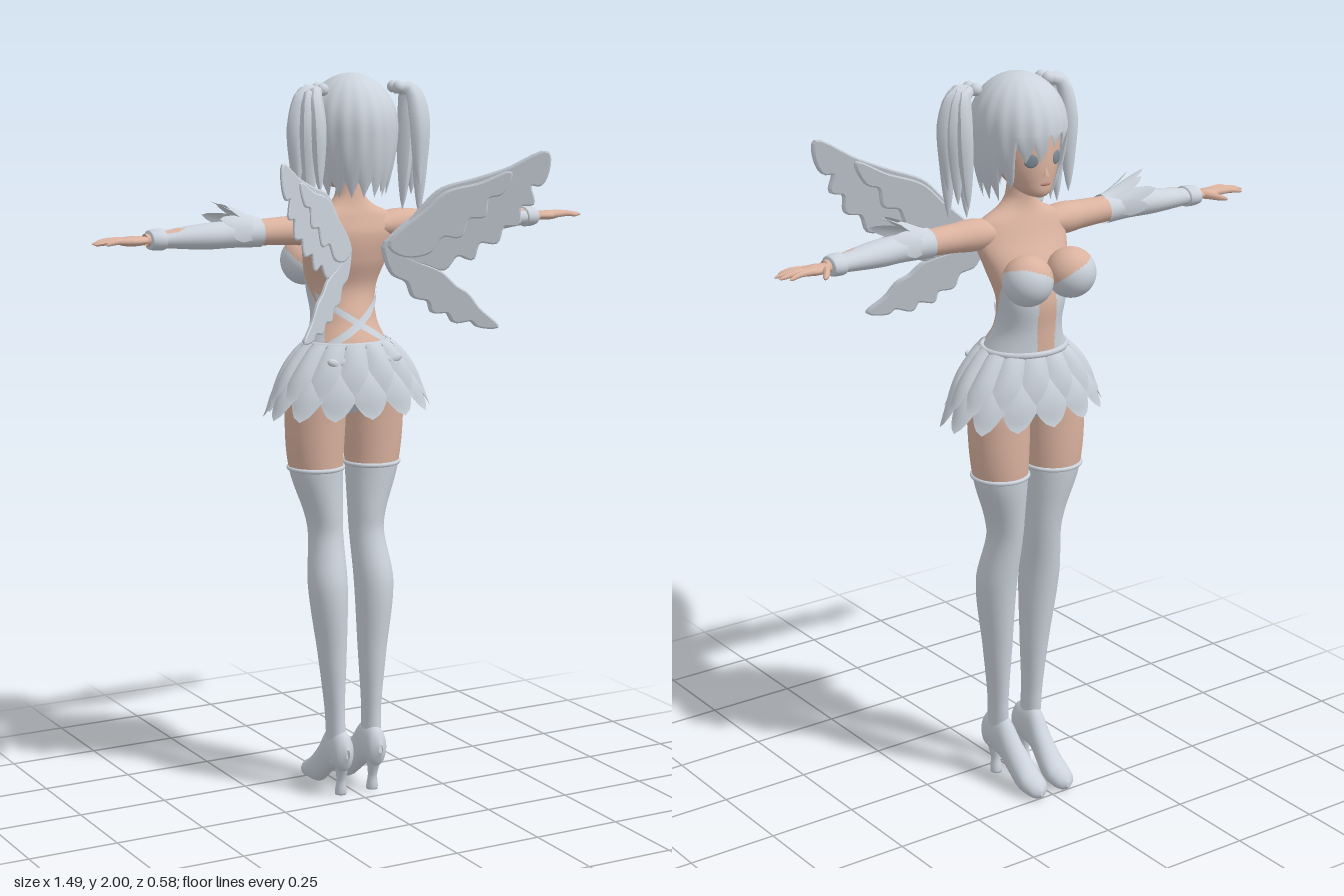
import * as THREE from 'three';

const mat = (name, color) => {
  const m = new THREE.MeshStandardMaterial({ color, side: THREE.DoubleSide });
  m.name = name;
  return m;
};

export function createModel() {
  const white = mat('pale silver', 0xccd3dc), skin = mat('skin', 0xdab29f);
  const iris = mat('eye grey', 0x7d8a94), lip = mat('lip', 0xb47c70);
  const model = new THREE.Group();

  const add = (parent, name, geo, material) => {
    const mesh = new THREE.Mesh(geo, material);
    mesh.name = name;
    parent.add(mesh);
    return mesh;
  };
  // Surface from a rule; with wrap the u direction closes on itself
  const grid = (nu, nv, fn, wrap) => {
    const pos = [], idx = [], cols = wrap ? nu : nu + 1;
    for (let j = 0; j <= nv; j++) for (let i = 0; i < cols; i++) pos.push(...fn(i / nu, j / nv));
    for (let j = 0; j < nv; j++) for (let i = 0; i < nu; i++) {
      const k = (i + 1) % cols, a = j * cols + i, b = j * cols + k, c = b + cols, d = a + cols;
      idx.push(a, b, c, a, c, d);
    }
    const g = new THREE.BufferGeometry();
    g.setAttribute('position', new THREE.Float32BufferAttribute(pos, 3));
    g.setIndex(idx);
    g.computeVertexNormals();
    return g;
  };
  // Smooth interpolation of elliptical sections [y, cx, cz, rx, rz], y ascending
  const sectionAt = (S, y) => {
    let i = 0;
    while (i < S.length - 2 && y > S[i + 1][0]) i++;
    const h = S[i + 1][0] - S[i][0], t = (y - S[i][0]) / h;
    const slope = (n, k) => {
      const p = S[Math.max(n - 1, 0)], q = S[Math.min(n + 1, S.length - 1)];
      return (q[k] - p[k]) / (q[0] - p[0]);
    };
    return [1, 2, 3, 4].map(k => {
      const a = S[i][k], b = S[i + 1][k], t2 = t * t, t3 = t2 * t;
      return a * (2 * t3 - 3 * t2 + 1) + b * (3 * t2 - 2 * t3)
        + h * (slope(i, k) * (t3 - 2 * t2 + t) + slope(i + 1, k) * (t3 - t2));
    });
  };
  const surfacePoint = (S, a, y, out = 0) => {
    const [cx, cz, rx, rz] = sectionAt(S, y);
    return [cx + (rx + out) * Math.sin(a), y, cz + (rz + out) * Math.cos(a)];
  };
  const loft = (S, nu, nv) => {
    const y0 = S[0][0], y1 = S[S.length - 1][0];
    return grid(nu, nv, (u, v) => surfacePoint(S, u * Math.PI * 2, y0 + (y1 - y0) * v), true);
  };
  // Sort the triangles into two material groups by a test on their centre
  const paint = (g, test) => {
    const p = g.attributes.position, src = g.index.array, lists = [[], []];
    for (let i = 0; i < src.length; i += 3) {
      const c = new THREE.Vector3(), t = [src[i], src[i + 1], src[i + 2]];
      t.forEach(n => c.add(new THREE.Vector3().fromBufferAttribute(p, n)));
      lists[test(c.divideScalar(3)) ? 1 : 0].push(...t);
    }
    g.setIndex([...lists[0], ...lists[1]]);
    g.clearGroups();
    g.addGroup(0, lists[0].length, 0);
    g.addGroup(lists[0].length, lists[1].length, 1);
    return g;
  };
  // Tapered lock of hair, finger or similar
  const strand = (pts, r, f = t => Math.pow(Math.sin(Math.PI * (0.12 + 0.88 * t)), 0.7)) => {
    const curve = new THREE.CatmullRomCurve3(pts.map(p => new THREE.Vector3(...p)));
    const g = new THREE.TubeGeometry(curve, 14, r, 8), p = g.attributes.position, v = new THREE.Vector3();
    for (let i = 0; i < p.count; i++) {
      const t = Math.floor(i / 9) / 14, c = curve.getPointAt(t);
      v.fromBufferAttribute(p, i).sub(c).multiplyScalar(Math.max(f(t), 0.02)).add(c);
      p.setXYZ(i, v.x, v.y, v.z);
    }
    g.computeVertexNormals();
    return g;
  };
  const leaf = v => v < 0.6 ? 0.8 + 0.2 * v / 0.6 : Math.pow(Math.max(1 - (v - 0.6) / 0.4, 0), 0.6);

  // Torso: bare back, open front strip, bodice on the sides
  const torso = [[1.08, 0, -.115, .04, .04], [1.13, 0, -.115, .13, .075], [1.2, 0, -.107, .142, .1],
    [1.27, 0, -.108, .115, .1], [1.34, 0, -.125, .091, .086], [1.42, 0, -.138, .1, .078], [1.5, 0, -.115, .122, .08],
    [1.57, 0, -.09, .138, .066], [1.62, 0, -.085, .12, .05], [1.65, 0, -.085, .065, .04], [1.68, 0, -.087, .04, .036],
    [1.76, 0, -.095, .036, .036]];
  add(model, 'torso', paint(loft(torso, 96, 120), c =>
    c.y < 1.27 || (c.y < 1.5 && c.z < -0.05 - (c.y - 1.27) * 0.55 && !(Math.abs(c.x) < 0.028 && c.z < -0.12))),
    [skin, white]);
  for (const s of [-1, 1]) {
    add(model, 'backStrap', grid(2, 20, (u, v) =>
      surfacePoint(torso, s * (v - 0.5) * 2.4, 1.255 + 0.15 * v + (u - 0.5) * 0.022, 0.004)), white);
  }

  // Head and face
  const head = [[1.688, 0, -.168, .006, .01], [1.698, 0, -.155, .034, .04], [1.73, 0, -.125, .062, .075],
    [1.78, 0, -.102, .086, .1], [1.85, 0, -.09, .1, .108], [1.92, 0, -.085, .085, .1], [1.96, 0, -.085, .03, .04]];
  add(model, 'head', loft(head, 40, 40), skin);
  const nose = add(model, 'nose', new THREE.ConeGeometry(0.009, 0.03, 8), skin);
  nose.position.set(0, 1.765, -0.2);
  const mouth = add(model, 'mouth', new THREE.SphereGeometry(1, 12, 8), lip);
  mouth.scale.set(0.016, 0.004, 0.004);
  mouth.position.set(0, 1.728, -0.199);
  for (const s of [-1, 1]) {
    const eye = add(model, 'eye', new THREE.SphereGeometry(1, 16, 10), iris);
    eye.scale.set(0.019, 0.018, 0.004);
    eye.position.set(s * 0.04, 1.792, -0.191);
    eye.rotation.y = -s * 0.45;
  }

  // Hair shell with grooves and a jagged hem, higher above the face
  const hem = a => {
    const d = Math.abs(a - Math.PI), saw = Math.abs(((a * 18 / Math.PI / 2) % 1) * 2 - 1);
    const base = d < 0.75 ? (a < Math.PI ? 1.785 : 1.82) : d < 1.2 ? 1.715 : 1.675;
    return base + 0.045 * saw;
  };
  add(model, 'hair', grid(144, 32, (u, w) => {
    const a = u * Math.PI * 2, v = 1 - w, yb = hem(a), groove = 1 + 0.012 * Math.cos(a * 18);
    let y, r;
    if (v < 0.5) {
      y = 1.86 + 0.14 * Math.cos(v * Math.PI);
      r = Math.sin(v * Math.PI);
    } else {
      const q = (v - 0.5) * 2;
      y = 1.86 + (yb - 1.86) * q;
      r = 1 - 0.24 * q * q * (1.86 - yb) / 0.18;
    }
    r *= 1 + (groove - 1) * Math.min(1, v * 2);
    return [0.122 * r * Math.sin(a), y, -0.08 + 0.138 * r * Math.cos(a)];
  }, true), white);

  // Rounded closed outline pulled into a thin wing plate slanting backwards
  const wingPlate = (pts, depth) => {
    const shape = new THREE.Shape(new THREE.CatmullRomCurve3(
      pts.map(p => new THREE.Vector3(p[0], p[1], 0)), true, 'centripetal').getPoints(90).map(p => new THREE.Vector2(p.x, p.y)));
    const g = new THREE.ExtrudeGeometry(shape, { depth, bevelEnabled: true, bevelSize: 0.004, bevelThickness: 0.003, bevelSegments: 1 });
    const p = g.attributes.position;
    for (let i = 0; i < p.count; i++) p.setZ(i, p.getZ(i) - depth / 2 + 0.01 + (p.getX(i) - 0.05) * 0.8);
    g.computeVertexNormals();
    return g;
  };

  // Everything that comes in pairs, built on +x
  const side = parent => {
    // Bust with cups over the lower outer part
    const bust = new THREE.SphereGeometry(0.067, 48, 36).translate(0.069, 1.487, -0.218);
    add(parent, 'bust', paint(bust, c => {
      const ox = (c.x - 0.069) / 0.067, ny = (c.y - 1.487) / 0.067, f = -(c.z + 0.218) / 0.067;
      return -ny + 0.5 * ox + 0.45 * f > -0.1;
    }), [skin, white]);

    // Leg with long stocking
    add(parent, 'leg', paint(loft([[.1, .054, -.058, .026, .035], [.18, .056, -.068, .025, .036], [.25, .058, -.071, .026, .036],
      [.4, .063, -.075, .038, .046], [.6, .072, -.083, .053, .062], [.74, .064, -.11, .047, .055], [.8, .068, -.115, .052, .06],
      [.92, .086, -.122, .074, .073], [1.05, .09, -.12, .084, .08], [1.15, .085, -.115, .08, .08], [1.2, .07, -.11, .05, .06]],
      32, 88), c => c.y < 0.93), [skin, white]);
    const rim = add(parent, 'stockingRim', new THREE.TorusGeometry(0.075, 0.006, 8, 40), white);
    rim.rotation.x = Math.PI / 2;
    rim.position.set(0.087, 0.93, -0.122);

    // High-heeled shoe, lofted from heel to toe
    add(parent, 'shoe', loft([[.003, .052, .13, .006, .015], [.02, .052, .13, .027, .05], [.06, .053, .135, .031, .06],
      [.1, .052, .125, .029, .065], [.14, .049, .085, .031, .055], [.18, .046, .051, .035, .047], [.22, .045, .033, .036, .031],
      [.25, .045, .025, .026, .023], [.262, .045, .02, .004, .008]], 24, 40).rotateX(-Math.PI / 2), white);
    add(parent, 'heel', loft([[0, .05, -.052, .001, .001], [.001, .05, -.052, .015, .016], [.05, .05, -.048, .013, .015],
      [.12, .052, -.04, .025, .034]], 16, 24), white);

    // Arm, glove and cuff, lofted outwards along x
    const limb = (name, S, material) =>
      add(parent, name, loft(S, 24, 40).rotateZ(-Math.PI / 2).translate(0, 1.59, 0), material);
    limb('arm', [[.08, 0, -.08, .03, .045], [.14, 0, -.08, .042, .046], [.2, 0, -.077, .038, .042], [.3, 0, -.075, .034, .038],
      [.45, 0, -.077, .03, .036], [.6, .004, -.092, .016, .022]], skin);
    limb('glove', [[.28, 0, -.075, .039, .044], [.36, 0, -.074, .036, .041], [.44, .002, -.077, .034, .043], [.55, .004, -.089, .023, .031]], white);
    limb('cuff', [[.548, .004, -.089, .022, .028], [.552, .004, -.089, .028, .036], [.588, .004, -.092, .025, .033], [.592, .004, -.092, .016, .02]], white);
    for (let i = 0; i < 7; i++) {
      const a0 = -1.5 + i * 0.5, len = i % 2 ? 0.14 : 0.11;
      add(parent, 'gloveFeather', grid(6, 10, (u, v) => {
        const a = a0 + (u - 0.5) * 0.9 * leaf(v) * (1 - 0.4 * v), r = 0.04 + 0.05 * Math.pow(v, 1.3);
        return [0.28 + len * v, 1.59 + r * Math.cos(a), -0.073 + r * 0.75 * Math.sin(a)];
      }), white);
    }

    // Hand
    const palm = add(parent, 'palm', new THREE.SphereGeometry(1, 18, 12), skin);
    palm.scale.set(0.05, 0.013, 0.028);
    palm.position.set(0.63, 1.585, -0.095);
    const round = t => Math.sqrt(Math.max(1 - Math.pow(t, 6), 0)) * (1 - 0.25 * t);
    [[.725, -.13], [.743, -.108], [.745, -.088], [.72, -.066]].forEach(([x, z], i) =>
      add(parent, 'finger', strand([[.645, 1.586, -.112 + i * .012], [.69, 1.588, (z - .112 + i * .012) / 2], [x, 1.582, z]], 0.0085, round), skin));
    add(parent, 'thumb', strand([[.605, 1.585, -.1], [.622, 1.584, -.135], [.645, 1.58, -.165]], 0.011, round), skin);

    // Side tail of hair with its bobbles
    [[.17, .0, .165, 1.62, .0], [.19, -.03, .185, 1.7, -.03], [.165, -.075, .16, 1.66, -.085], [.15, -.04, .145, 1.63, -.055],
      [.178, -.055, .175, 1.67, -.06], [.15, .015, .15, 1.7, .03]].forEach(([mx, mz, ex, ey, ez]) =>
      add(parent, 'sideTail', strand([[.11, 1.955, -.04], [(mx + .11) / 2 + .012, 1.955, (mz - .04) / 2], [mx, 1.88, mz],
        [(mx + ex) / 2, 1.76, (mz + ez) / 2], [ex, ey, ez]], 0.023), white));
    for (const dz of [-0.015, 0.015]) {
      add(parent, 'hairBobble', new THREE.SphereGeometry(0.017, 14, 10), white).position.set(0.115, 1.962, -0.038 + dz);
    }

    // Feathered wing: blade, lower lobe and thicker covert layers
    add(parent, 'upperWing', wingPlate([[.05, 1.54], [.1, 1.6], [.14, 1.66], [.175, 1.7], [.24, 1.725], [.31, 1.755], [.388, 1.8],
      [.392, 1.76], [.375, 1.715], [.355, 1.715], [.36, 1.665], [.335, 1.66], [.33, 1.61], [.3, 1.605], [.285, 1.56], [.25, 1.56],
      [.235, 1.515], [.205, 1.525], [.175, 1.485], [.13, 1.5], [.08, 1.49]], 0.008), white);
    add(parent, 'wingCovert', wingPlate([[.06, 1.545], [.14, 1.645], [.18, 1.69], [.25, 1.715], [.31, 1.745], [.29, 1.69], [.265, 1.68],
      [.255, 1.63], [.225, 1.625], [.205, 1.575], [.17, 1.575], [.14, 1.53], [.09, 1.52]], 0.024), white);
    add(parent, 'lowerWing', wingPlate([[.055, 1.535], [.11, 1.505], [.17, 1.475], [.2, 1.44], [.225, 1.42], [.25, 1.38], [.288, 1.335],
      [.25, 1.335], [.235, 1.35], [.2, 1.345], [.185, 1.37], [.155, 1.37], [.145, 1.4], [.115, 1.41], [.1, 1.45], [.07, 1.47]], 0.01), white);

    // Small bow at the back of the skirt
    for (const t of [-1, 1]) {
      const loop = add(parent, 'bowLoop', new THREE.SphereGeometry(1, 12, 8), white);
      loop.scale.set(0.02, 0.011, 0.008);
      loop.position.set(0.08 + t * 0.016, 1.235, 0);
      loop.rotation.z = t * 0.4;
    }
  };
  for (const s of [1, -1]) {
    const half = new THREE.Group();
    half.name = s > 0 ? 'leftSide' : 'rightSide';
    half.scale.x = s;
    side(half);
    model.add(half);
  }

  // Skirt of overlapping petals in two tiers, and its waistband
  const tier = (name, n, shift, yTop, yEnd, r0, r1) => {
    for (let i = 0; i < n; i++) {
      const mid = (i + shift) / n * Math.PI * 2;
      add(model, name, grid(8, 12, (u, v) => {
        const e = u * 2 - 1, a = mid + e * leaf(v) * Math.PI / n * 1.15;
        const k = Math.pow(v, 0.8), puff = 0.012 * (1 - e * e) * Math.sin(Math.PI * Math.min(v + 0.1, 1));
        return [(r0[0] + (r1[0] - r0[0]) * k + puff) * Math.sin(a), yTop + (yEnd - yTop) * v,
          -0.1 + (r0[1] + (r1[1] - r0[1]) * k + puff) * Math.cos(a)];
      }), white);
    }
  };
  tier('upperPetal', 14, 0.5, 1.28, 1.125, [.118, .102], [.235, .135]);
  tier('lowerPetal', 14, 0, 1.23, 1.08, [.145, .106], [.25, .145]);
  const band = add(model, 'waistband', new THREE.TorusGeometry(1, 0.07, 8, 48), white);
  band.rotation.x = Math.PI / 2;
  band.scale.set(0.116, 0.102, 0.12);
  band.position.set(0, 1.275, -0.107);

  return model;
}
